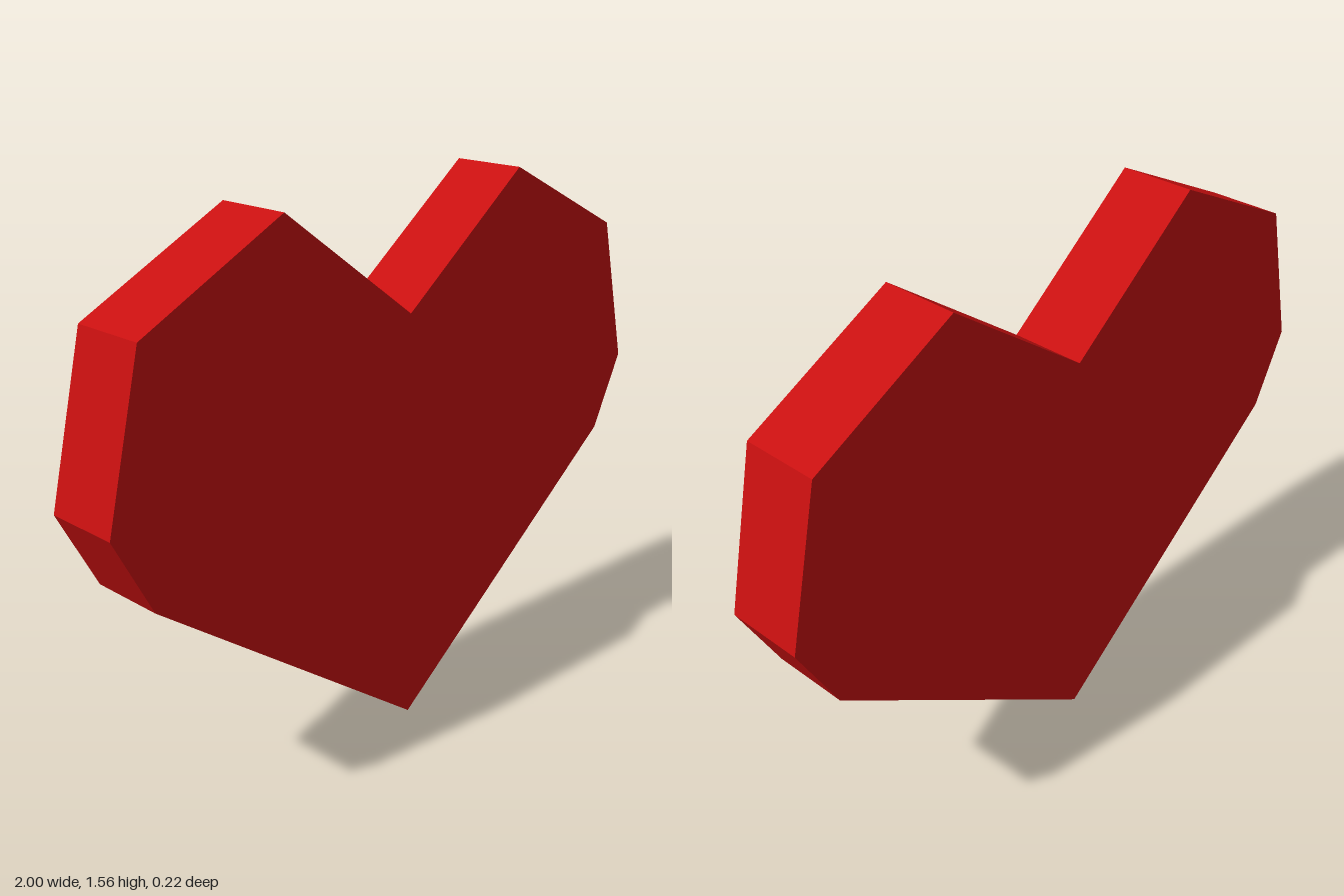
import * as THREE from 'three';

export function createModel() {
  const group = new THREE.Group();
  group.name = 'heart';
  const red = new THREE.MeshStandardMaterial({ color: 0xc81010 });
  red.name = 'red';

  // Left half of the outline in ninths of a unit, from bottom tip to top notch
  const unit = 1 / 9;
  const half = [[0, 0], [8, 6], [9, 8], [8, 12], [4, 14], [0, 11]];
  // Mirror the inner points for the other half
  const mirrored = half.slice(1, -1).reverse().map(([x, y]) => [-x, y]);
  const outline = [...half, ...mirrored].map(([x, y]) => new THREE.Vector2(x * unit, y * unit));

  // Flat slab with sharp edges, centred on z
  const depth = 2 * unit;
  const geometry = new THREE.ExtrudeGeometry(new THREE.Shape(outline), { depth, bevelEnabled: false });
  geometry.translate(0, 0, -depth / 2);

  const body = new THREE.Mesh(geometry, red);
  body.name = 'heartBody';
  group.add(body);
  return group;
}
